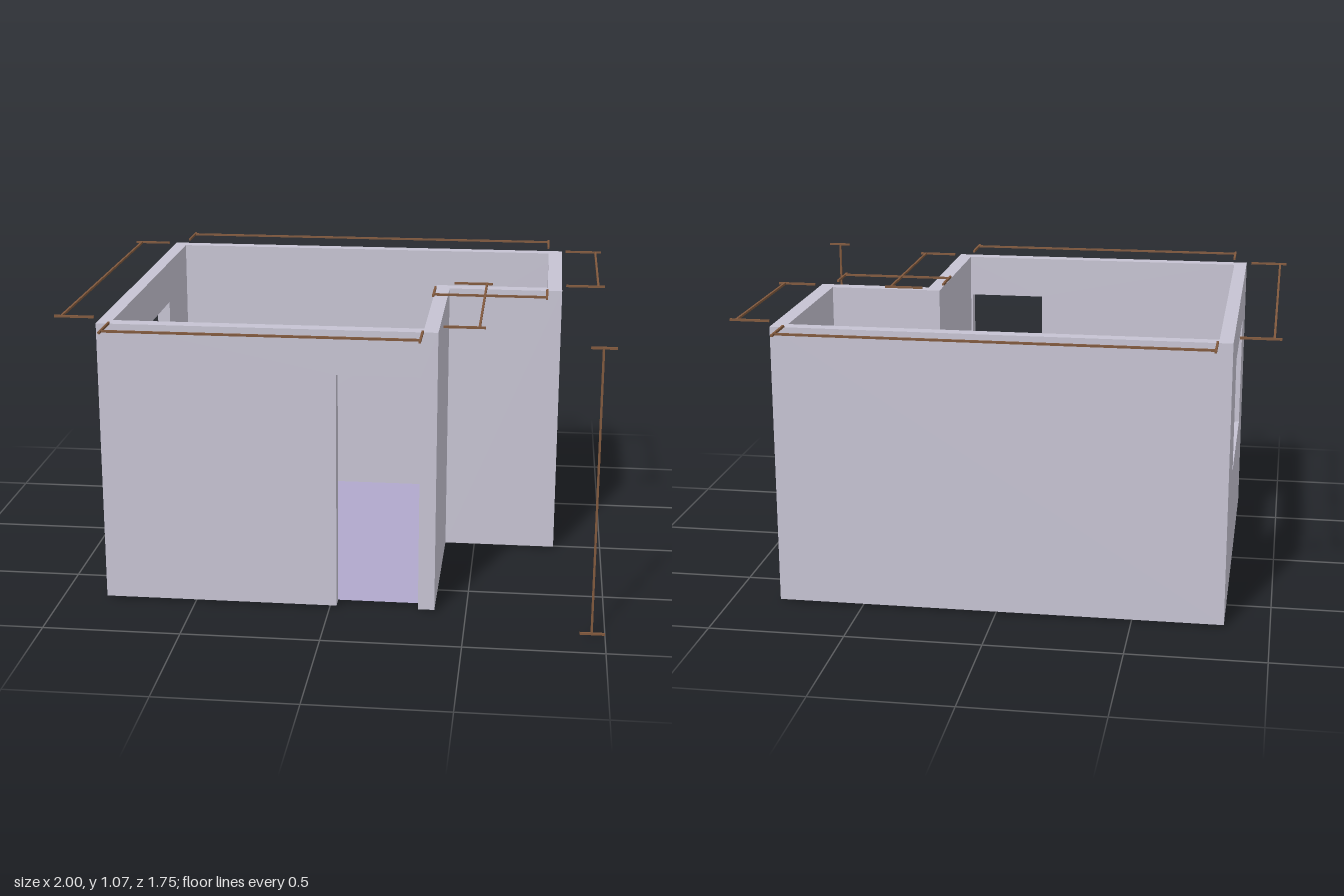
import * as THREE from 'three';

const BASE = 0.007, TOP = 1.053;   // wall foot and wall head
const HEAD = 0.89, SILL = 0.46;    // top of both openings, bottom of the window

const wallMat = new THREE.MeshStandardMaterial({ color: 0xc6c3d2 });
const floorMat = new THREE.MeshStandardMaterial({ color: 0xb0a8cc, side: THREE.DoubleSide });
const lineMat = new THREE.MeshStandardMaterial({ color: 0x80583c });

const shapeOf = (pts) => new THREE.Shape(pts.map(([x, y]) => new THREE.Vector2(x, y)));

// Upright wall over a plan rectangle; door and window are [start, end] along its length
function wall(name, x0, x1, z0, z1, { door, window: win } = {}) {
  const alongX = x1 - x0 > z1 - z0;
  const [a, b] = alongX ? [x0, x1] : [z0, z1];
  const outline = [[a, BASE]];
  if (door) outline.push([door[0], BASE], [door[0], HEAD], [door[1], HEAD], [door[1], BASE]);
  outline.push([b, BASE], [b, TOP], [a, TOP]);
  const shape = shapeOf(outline);
  if (win) shape.holes.push(shapeOf([[win[0], SILL], [win[0], HEAD], [win[1], HEAD], [win[1], SILL]]));
  const geo = new THREE.ExtrudeGeometry(shape, { depth: alongX ? z1 - z0 : x1 - x0, bevelEnabled: false });
  if (alongX) geo.translate(0, 0, z0);
  else geo.rotateY(-Math.PI / 2).translate(x1, 0, 0);
  const mesh = new THREE.Mesh(geo, wallMat);
  mesh.name = name;
  return mesh;
}

// Thin bar between two points that differ along one axis
function bar(p, q) {
  const T = 0.008;
  const size = p.map((v, i) => Math.max(Math.abs(q[i] - v), T));
  const mesh = new THREE.Mesh(new THREE.BoxGeometry(...size), lineMat);
  mesh.position.set(...p.map((v, i) => (v + q[i]) / 2));
  return mesh;
}

// Dimension line from p to q with an end tick reaching lo..hi on the tick axis
function dimension(name, p, q, axis, lo, hi) {
  const group = new THREE.Group();
  group.name = name;
  group.add(bar(p, q));
  for (const end of [p, q]) {
    const s = [...end], e = [...end];
    s[axis] = lo;
    e[axis] = hi;
    group.add(bar(s, e));
  }
  return group;
}

export function createModel() {
  const model = new THREE.Group();
  model.name = 'room';

  // L-shaped ring of walls
  model.add(
    wall('backWall', -0.835, 0.815, -0.71, -0.66),
    wall('windowWall', -0.835, -0.785, -0.66, 0.705, { window: [-0.3, 0.355] }),
    wall('doorWall', -0.785, 0.385, 0.652, 0.705, { door: [0.025, 0.325] }),
    wall('notchSideWall', 0.332, 0.385, -0.028, 0.652),
    wall('notchFrontWall', 0.385, 0.815, -0.028, 0.025),
    wall('sideWall', 0.76, 0.815, -0.66, -0.028),
  );

  // Floor inside the walls
  const plan = shapeOf([[-0.785, -0.66], [0.76, -0.66], [0.76, -0.028], [0.332, -0.028], [0.332, 0.652], [-0.785, 0.652]]);
  const floor = new THREE.Mesh(new THREE.ShapeGeometry(plan).rotateX(Math.PI / 2), floorMat);
  floor.position.y = BASE + 0.001;
  floor.name = 'floor';
  model.add(floor);

  // Dimension lines level with the wall heads, and one for the height
  const Y = 1.062;
  model.add(
    dimension('backDimension', [-0.782, Y, -0.85], [0.758, Y, -0.85], 2, -0.877, -0.73),
    dimension('frontDimension', [-0.782, Y, 0.846], [0.332, Y, 0.846], 2, 0.727, 0.873),
    dimension('windowSideDimension', [-0.974, Y, -0.66], [-0.974, Y, 0.652], 0, -1, -0.855),
    dimension('sideDimension', [0.953, Y, -0.66], [0.953, Y, -0.028], 0, 0.83, 0.977),
    dimension('notchWidthDimension', [0.332, Y, 0.168], [0.758, Y, 0.168], 2, 0.045, 0.195),
    dimension('notchDepthDimension', [0.526, Y, -0.028], [0.526, Y, 0.652], 0, 0.4, 0.548),
    dimension('heightDimension', [0.953, 0.004, 0.846], [0.953, TOP, 0.846], 0, 0.91, 1),
  );
  return model;
}
